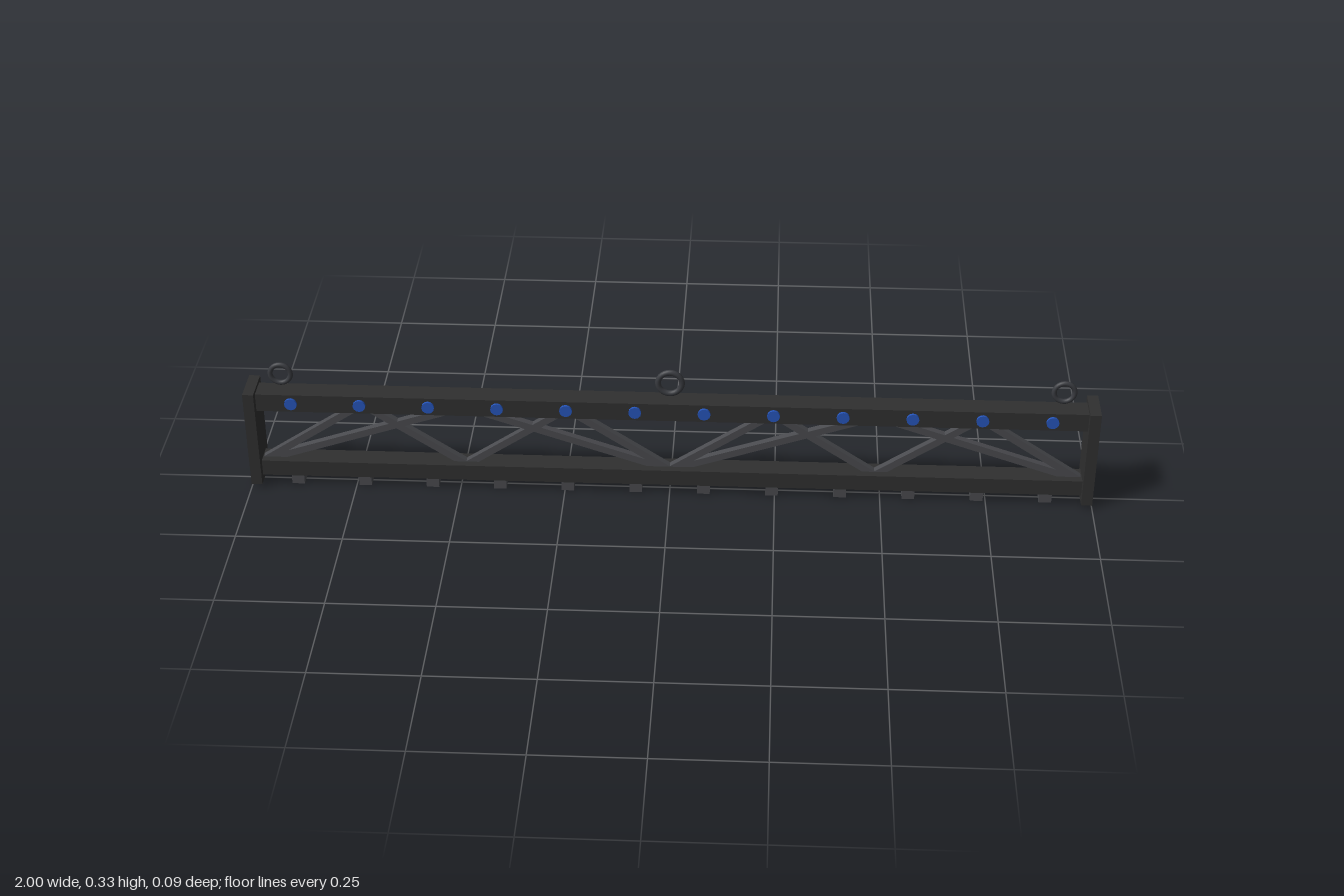
import * as THREE from 'three';

export function createModel() {
  const model = new THREE.Group();
  const mat = (name, color) => {
    const m = new THREE.MeshStandardMaterial({ color });
    m.name = name;
    return m;
  };
  const charcoal = mat('charcoal', 0x303030);
  const steel = mat('steel grey', 0x4a4b4f);
  const conduitGrey = mat('conduit grey', 0x393b40);
  const blue = mat('socket blue', 0x2656bd);

  const add = (name, geometry, material, x, y, z) => {
    const mesh = new THREE.Mesh(geometry, material);
    mesh.name = name;
    mesh.position.set(x, y, z);
    model.add(mesh);
    return mesh;
  };

  // Chords, each with a conduit along its back
  const chords = [['topChord', 0.2275, 0.045], ['bottomChord', 0.045, 0.04]];
  for (const [name, y, height] of chords) {
    add(name, new THREE.BoxGeometry(1.96, height, 0.054), charcoal, 0, y, 0);
    const conduit = add(name + 'Conduit', new THREE.CylinderGeometry(0.011, 0.011, 1.95, 12), conduitGrey, 0, y, -0.03);
    conduit.rotation.z = Math.PI / 2;
  }

  // End plates
  for (const side of [-1, 1]) {
    add(side > 0 ? 'leftEndPlate' : 'rightEndPlate',
      new THREE.BoxGeometry(0.026, 0.25, 0.09), charcoal, side * 0.987, 0.134, 0);
  }

  // Diagonal braces: short zigzag plus long crossing members
  const brace = (x1, y1, x2, y2) => {
    const length = Math.hypot(x2 - x1, y2 - y1);
    const bar = add('brace', new THREE.BoxGeometry(length, 0.017, 0.017), steel,
      (x1 + x2) / 2, (y1 + y2) / 2, 0);
    bar.rotation.z = Math.atan2(y2 - y1, x2 - x1);
  };
  const low = 0.056, high = 0.217, bay = 0.485;
  for (let i = -2; i < 2; i++) {
    const start = i * bay, end = start + bay, mid = start + bay / 2;
    brace(start, low, mid, high);
    brace(mid, high, end, low);
    if (i % 2 === 0) brace(start, low, end, high);
    else brace(start, high, end, low);
  }

  // Blue sockets on the front and lamp clamps underneath
  const socketGeometry = new THREE.CylinderGeometry(0.015, 0.015, 0.012, 12);
  const clampGeometry = new THREE.BoxGeometry(0.03, 0.03, 0.047);
  for (let i = 0; i < 12; i++) {
    const x = (i - 5.5) * 0.162;
    add('socket', socketGeometry, blue, x, 0.2275, 0.027).rotation.x = Math.PI / 2;
    add('clamp', clampGeometry, steel, x, 0.015, 0);
  }

  // Lifting rings
  for (const [x, radius, tube] of [[-0.915, 0.024, 0.006], [0, 0.028, 0.007], [0.915, 0.024, 0.006]]) {
    add('liftingRing', new THREE.TorusGeometry(radius, tube, 10, 28), conduitGrey, x, 0.293, 0);
  }

  return model;
}
